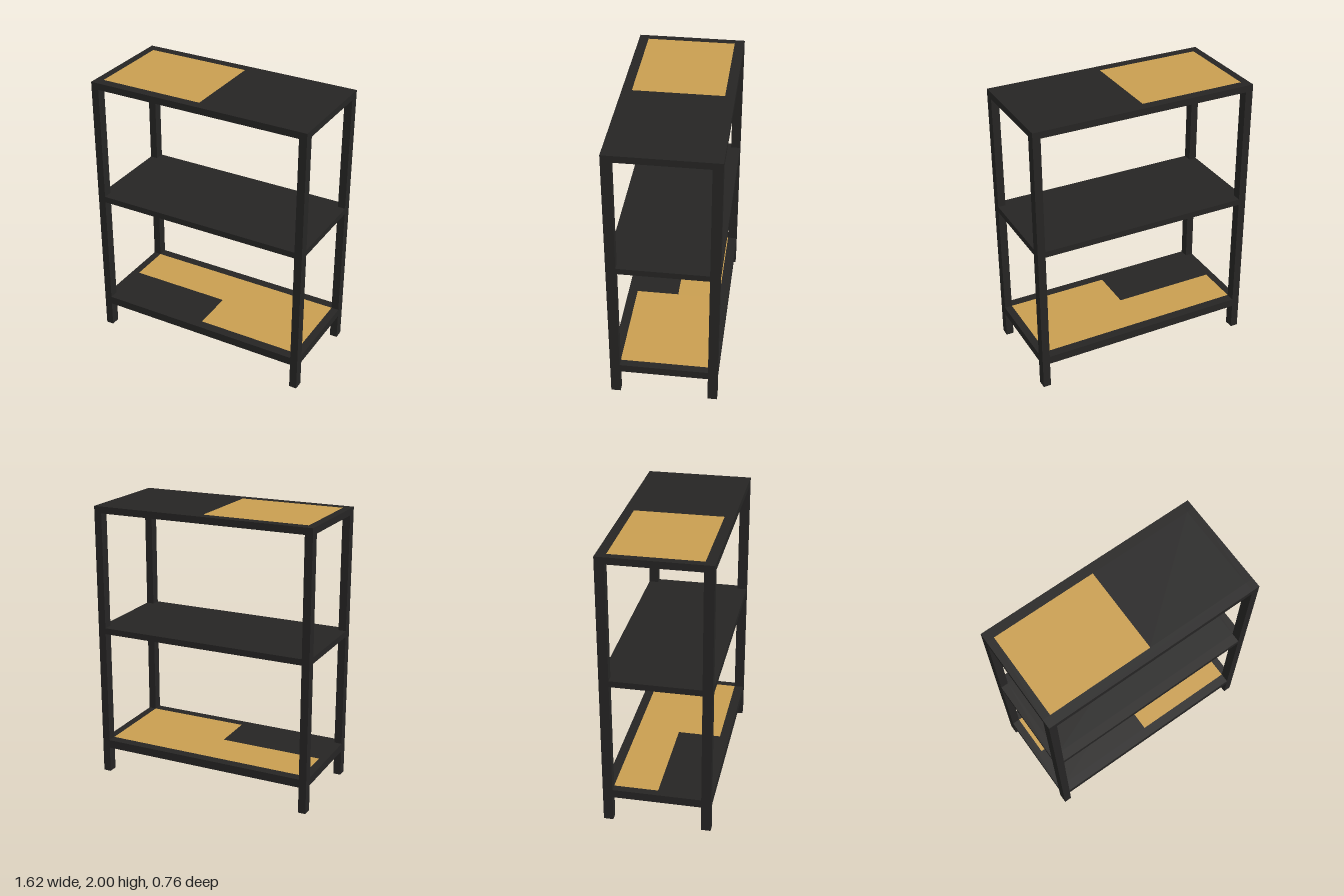
import * as THREE from 'three';

export function createModel() {
  const model = new THREE.Group();
  const metal = new THREE.MeshStandardMaterial({ color: 0x262524 });
  const wood = new THREE.MeshStandardMaterial({ color: 0xc99e50 });

  const X = 0.81, Z = 0.38;      // outer half width and half depth
  const ix = 0.755, iz = 0.312;  // inner half width and half depth

  // Box given by its minimum and maximum corners
  function box(parent, name, material, x0, x1, y0, y1, z0, z1) {
    const mesh = new THREE.Mesh(new THREE.BoxGeometry(x1 - x0, y1 - y0, z1 - z0), material);
    mesh.position.set((x0 + x1) / 2, (y0 + y1) / 2, (z0 + z1) / 2);
    mesh.name = name;
    parent.add(mesh);
  }

  // Corner legs
  const legs = new THREE.Group();
  legs.name = 'legs';
  for (const sx of [-1, 1]) {
    for (const sz of [-1, 1]) {
      const x = sx * (X + ix) / 2, z = sz * (Z + iz) / 2;
      const hx = (X - ix) / 2, hz = (Z - iz) / 2;
      box(legs, 'leg', metal, x - hx, x + hx, 0, 2, z - hz, z + hz);
    }
  }
  model.add(legs);

  // Shelf: four rails between the legs, filled flush by an upper and a lower layer of tiles.
  // Each tile is [material, x0, x1, z0, z1].
  function shelf(name, y0, y1, upper, lower) {
    const group = new THREE.Group();
    group.name = name;
    box(group, 'frontRail', metal, -ix, ix, y0, y1, iz, Z);
    box(group, 'backRail', metal, -ix, ix, y0, y1, -Z, -iz);
    box(group, 'leftRail', metal, ix, X, y0, y1, -iz, iz);
    box(group, 'rightRail', metal, -X, -ix, y0, y1, -iz, iz);
    const mid = (y0 + y1) / 2;
    for (const [m, x0, x1, z0, z1] of upper) box(group, 'upperPanel', m, x0, x1, mid, y1, z0, z1);
    for (const [m, x0, x1, z0, z1] of lower) box(group, 'lowerPanel', m, x0, x1, y0, mid, z0, z1);
    model.add(group);
  }

  const full = (m) => [[m, -ix, ix, -iz, iz]];

  // Top shelf: half wood above, dark front left quarter below
  shelf('topShelf', 1.952, 2,
    [[wood, -ix, 0, -iz, iz], [metal, 0, ix, -iz, iz]],
    [[wood, -ix, 0, -iz, iz], [wood, 0, ix, -iz, 0], [metal, 0, ix, 0, iz]]);

  // Middle shelf: all dark
  shelf('middleShelf', 1.076, 1.12, full(metal), full(metal));

  // Bottom shelf: dark front right quarter above, all wood below
  shelf('bottomShelf', 0.19, 0.25,
    [[wood, 0, ix, -iz, iz], [wood, -ix, 0, -iz, 0], [metal, -ix, 0, 0, iz]],
    full(wood));

  return model;
}
